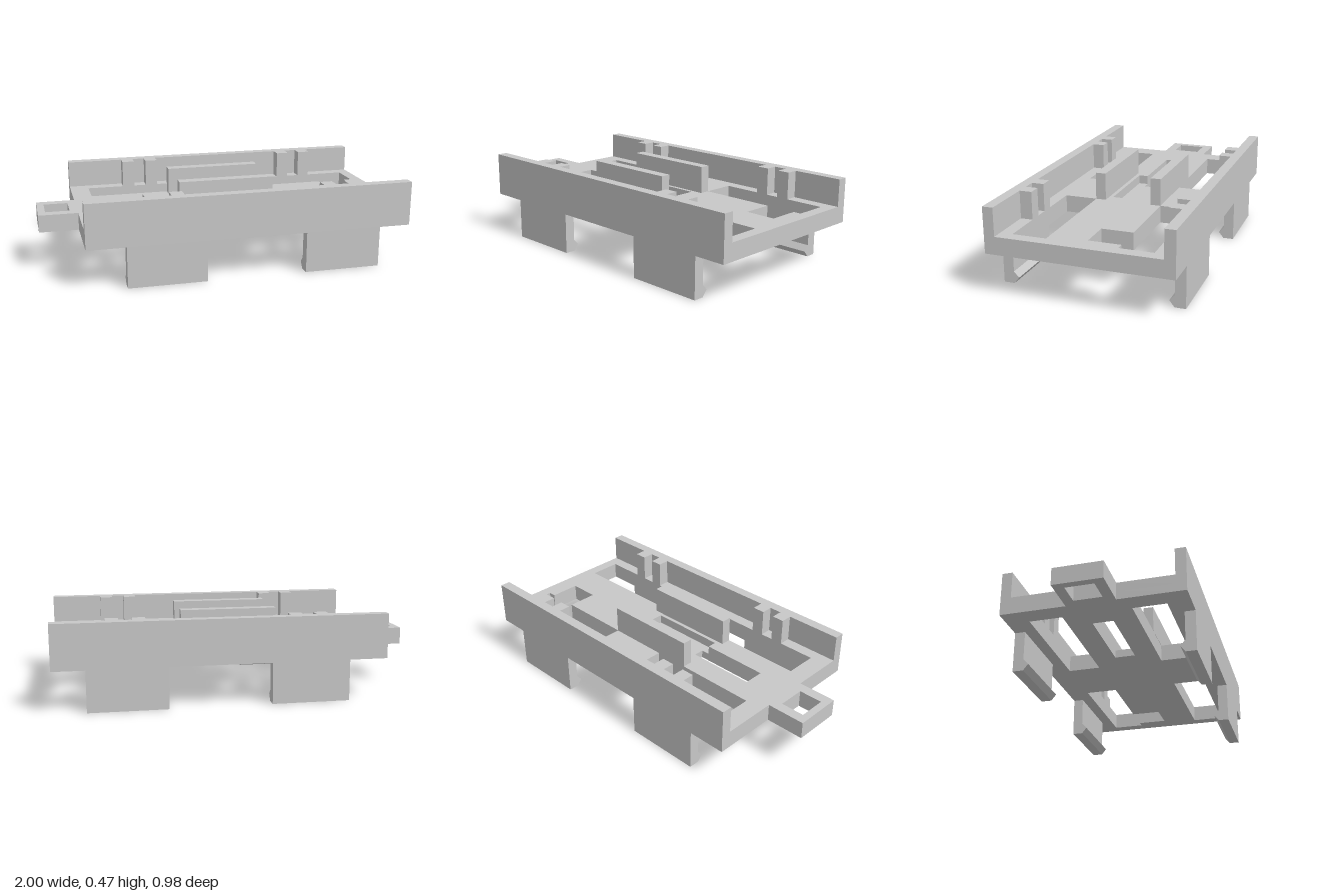
import * as THREE from 'three';

const BOTTOM = 0.225, FLOOR = 0.32, TOP = 0.47, RECESS = 0.27;

export function createModel() {
  const model = new THREE.Group();
  model.name = 'clipOnCarrier';
  const grey = new THREE.MeshStandardMaterial({ color: 0xc8c8c8 });
  grey.name = 'grey plastic';

  const add = (name, geometry) => {
    const mesh = new THREE.Mesh(geometry, grey);
    mesh.name = name;
    model.add(mesh);
  };
  // Box given by its extents
  const box = (name, x0, x1, y0, y1, z0, z1) => {
    const g = new THREE.BoxGeometry(x1 - x0, y1 - y0, z1 - z0);
    g.translate((x0 + x1) / 2, (y0 + y1) / 2, (z0 + z1) / 2);
    add(name, g);
  };
  // Plan outlines are written as [x, z]; the outer one runs anticlockwise, holes clockwise
  const plan = (pts) => pts.map(([x, z]) => new THREE.Vector2(x, -z));
  const rect = (x0, x1, z0, z1) => [[x0, z0], [x1, z0], [x1, z1], [x0, z1]];
  const slab = (name, outline, holes, y0, y1) => {
    const shape = new THREE.Shape(plan(outline).reverse());
    holes.forEach((h) => shape.holes.push(new THREE.Path(plan(h))));
    const g = new THREE.ExtrudeGeometry(shape, { depth: y1 - y0, bevelEnabled: false });
    g.rotateX(-Math.PI / 2).translate(0, y0, 0);
    add(name, g);
  };

  // Base plate with end tab, in two layers so the middle recess stays closed below
  const outline = [
    [-0.786, -0.433], [1, -0.433], [1, 0.433], [-0.786, 0.433],
    [-0.786, 0.132], [-1, 0.132], [-1, -0.132], [-0.786, -0.132],
  ];
  const openings = [
    rect(-0.96, -0.828, -0.077, 0.075),
    rect(-0.68, -0.042, -0.367, -0.186),
    rect(-0.68, -0.042, 0.186, 0.367),
    rect(0.299, 0.937, 0.186, 0.367),
    // Rear slot with its side notch
    [[0.299, -0.367], [0.937, -0.367], [0.937, -0.186], [0.894, -0.186],
      [0.894, -0.015], [0.724, -0.015], [0.724, -0.186], [0.299, -0.186]],
  ];
  const slot = rect(-0.575, -0.148, -0.057, 0.057);
  const slotWithRecess = [
    [-0.575, -0.057], [-0.197, -0.057], [-0.197, -0.109], [0.242, -0.109],
    [0.242, 0.109], [-0.197, 0.109], [-0.197, 0.057], [-0.575, 0.057],
  ];
  slab('basePlateLower', outline, [...openings, slot], BOTTOM, RECESS);
  slab('basePlateUpper', outline, [...openings, slotWithRecess], RECESS, FLOOR);

  // Clip cross-section as [z, y], hook pointing inward
  const clipShape = new THREE.Shape([
    [0.49, 0], [0.49, BOTTOM], [0.433, BOTTOM], [0.433, 0.065], [0.405, 0.034], [0.432, 0],
  ].map(([z, y]) => new THREE.Vector2(-z, y)));

  for (const [side, s] of [['front', 1], ['rear', -1]]) {
    const span = (a, b) => (s > 0 ? [a, b] : [-b, -a]);
    box(side + 'Wall', -0.786, 1, BOTTOM, TOP, ...span(0.433, 0.49));
    box(side + 'Fin', -0.235, 0.299, FLOOR, TOP, ...span(0.13, 0.187));

    // Paired posts form narrow guide grooves
    for (const x of [-0.47, -0.33, 0.51, 0.65]) {
      box(side + 'GuidePost', x, x + 0.07, FLOOR, TOP, ...span(0.367, 0.433));
    }

    // Snap clips hanging below the wall
    for (const [x0, x1] of [[-0.577, -0.152], [0.4, 0.825]]) {
      const g = new THREE.ExtrudeGeometry(clipShape, { depth: x1 - x0, bevelEnabled: false });
      g.translate(0, 0, -(x1 - x0) / 2).rotateY(s * Math.PI / 2);
      g.translate((x0 + x1) / 2, 0, 0);
      add(side + 'SnapClip', g);
    }
  }
  return model;
}
